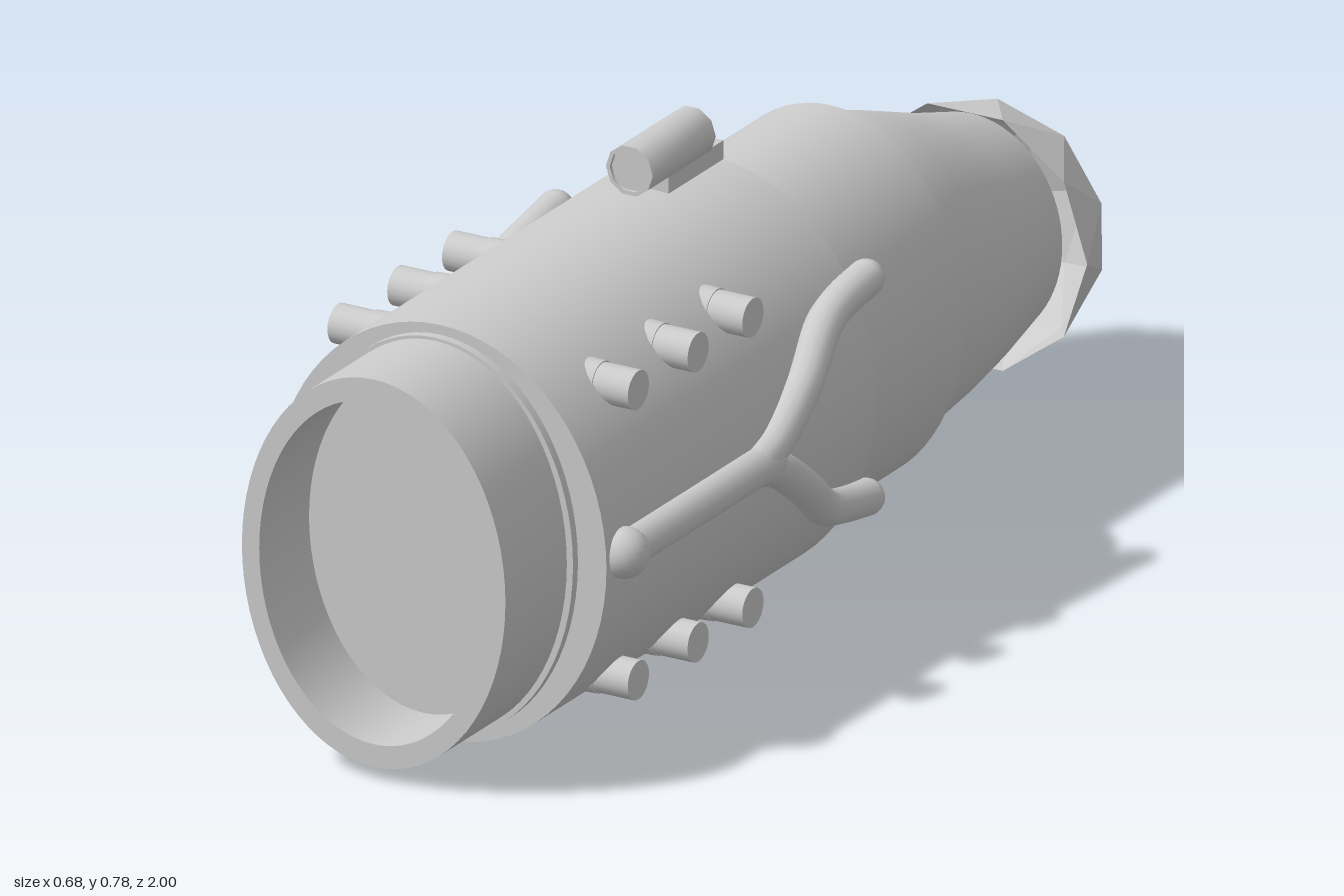
import * as THREE from 'three';
import { toCreasedNormals } from 'three/addons/utils/BufferGeometryUtils.js';

const material = new THREE.MeshStandardMaterial({ color: 0xcccccc });
const thinMaterial = new THREE.MeshStandardMaterial({ color: 0xcccccc, flatShading: true, side: THREE.DoubleSide });

function add(parent, name, geometry, mat = material) {
  const mesh = new THREE.Mesh(geometry, mat);
  mesh.name = name;
  parent.add(mesh);
  return mesh;
}

// Skin over elliptical sections [z, radiusX, radiusY, centreY], ordered front to back
function loft(stations, segments = 72) {
  const positions = [], indices = [];
  for (const [z, rx, ry, cy] of stations) {
    for (let j = 0; j < segments; j++) {
      const a = (j / segments) * Math.PI * 2;
      positions.push(rx * Math.cos(a), cy + ry * Math.sin(a), z);
    }
  }
  for (let i = 0; i < stations.length - 1; i++) {
    for (let j = 0; j < segments; j++) {
      const k = (j + 1) % segments;
      const a = i * segments + j, b = i * segments + k;
      const c = a + segments, d = b + segments;
      if (stations[i + 1][1] > 0) indices.push(a, c, d);
      if (stations[i][1] > 0) indices.push(a, d, b);
    }
  }
  const geometry = new THREE.BufferGeometry();
  geometry.setAttribute('position', new THREE.Float32BufferAttribute(positions, 3));
  geometry.setIndex(indices);
  return toCreasedNormals(geometry, 0.5);
}

// Round pipe through points, with a ball closing the far end
function pipe(parent, name, points, radius) {
  const path = new THREE.CatmullRomCurve3(points.map((p) => new THREE.Vector3(...p)));
  add(parent, name, new THREE.TubeGeometry(path, 28, radius, 14));
  add(parent, name + 'End', new THREE.SphereGeometry(radius, 14, 10)).position.copy(path.getPoint(1));
}

// Forked pipe and two rows of pegs for one flank (side = 1 or -1)
function createFlank(side) {
  const flank = new THREE.Group();
  flank.name = side > 0 ? 'leftFlank' : 'rightFlank';

  const fork = new THREE.Group();
  fork.name = 'forkedPipe';
  flank.add(fork);
  pipe(fork, 'stem', [[side * 0.3, 0.36, 0.75], [side * 0.301, 0.36, 0.55], [side * 0.3, 0.36, 0.32]], 0.032);
  add(fork, 'frontKnob', new THREE.SphereGeometry(0.041, 18, 14)).position.set(side * 0.3, 0.357, 0.75);
  for (const v of [1, -1]) {
    pipe(fork, v > 0 ? 'upperBranch' : 'lowerBranch', [
      [0.3, 0, 0.36], [0.3, 0.02, 0.3], [0.297, 0.085, 0.205],
      [0.282, 0.15, 0.12], [0.277, 0.169, 0.06], [0.278, 0.182, -0.015],
    ].map(([x, y, z]) => [side * x, 0.36 + v * y, z]), 0.03);
  }

  for (const y of [0.587, 0.105]) {
    for (const z of [0.31, 0.475, 0.655]) {
      const peg = new THREE.Group();
      peg.name = 'peg';
      peg.position.set(0, y, z);
      peg.rotation.z = -side * Math.PI / 2;
      add(peg, 'pegShaft', new THREE.CylinderGeometry(0.032, 0.032, 0.13, 24)).position.y = 0.204;
      add(peg, 'pegSocket', new THREE.CylinderGeometry(0.034, 0.037, 0.08, 24)).position.y = 0.165;
      flank.add(peg);
    }
  }
  return flank;
}

export function createModel() {
  const model = new THREE.Group();
  model.name = 'capsule';

  // Hollow front collar with a recessed floor
  add(model, 'frontCollar', loft([
    [0.85, 0, 0, 0.347], [0.85, 0.205, 0.284, 0.347], [1, 0.205, 0.284, 0.347],
    [1, 0.236, 0.322, 0.347], [0.78, 0.236, 0.322, 0.347],
  ]));
  add(model, 'collarLip', loft([
    [0.815, 0.2, 0.29, 0.346], [0.815, 0.247, 0.328, 0.346], [0.78, 0.247, 0.328, 0.346],
  ]));

  // Main barrel and narrower rear sleeve
  add(model, 'mainBarrel', loft([
    [0.8, 0, 0, 0.346], [0.8, 0.298, 0.344, 0.346],
    [-0.01, 0.298, 0.344, 0.346], [-0.01, 0, 0, 0.346],
  ]));
  add(model, 'rearSleeve', loft([
    [0, 0, 0, 0.335], [0, 0.24, 0.311, 0.335],
    [-0.375, 0.24, 0.311, 0.335], [-0.375, 0, 0, 0.335],
  ]));

  // Tapered tail
  add(model, 'tailCone', loft([
    [-0.36, 0.216, 0.286, 0.335], [-0.43, 0.214, 0.28, 0.331], [-0.5, 0.209, 0.267, 0.324],
    [-0.58, 0.2, 0.247, 0.314], [-0.68, 0.185, 0.219, 0.304], [-0.8, 0.163, 0.186, 0.298],
    [-0.8, 0, 0, 0.298],
  ]));

  // Faceted half-dome on the tail, open at the front
  const sphere = new THREE.IcosahedronGeometry(0.219, 1);
  sphere.rotateX(Math.atan(2 / (1 + Math.sqrt(5))) - Math.PI);
  const p = sphere.attributes.position, kept = [];
  for (let i = 0; i < p.count; i += 3) {
    if (p.getZ(i) + p.getZ(i + 1) + p.getZ(i + 2) > 0) continue;
    for (let j = i; j < i + 3; j++) kept.push(p.getX(j), p.getY(j), p.getZ(j));
  }
  const half = new THREE.BufferGeometry();
  half.setAttribute('position', new THREE.Float32BufferAttribute(kept, 3));
  half.computeVertexNormals();
  add(model, 'tailDome', half, thinMaterial).position.set(0, 0.285, -0.781);

  // Sight tube on its mount; the bore is open toward the rear
  add(model, 'sightMount', new THREE.BoxGeometry(0.052, 0.05, 0.165)).position.set(0, 0.695, 0.0725);
  const tube = loft([
    [0.224, 0, 0, 0], [0.224, 0.035, 0.035, 0], [0.23, 0.035, 0.035, 0], [0.23, 0.042, 0.042, 0],
    [0.04, 0.042, 0.042, 0], [0.04, 0.036, 0.036, 0], [0.1, 0.036, 0.036, 0], [0.1, 0, 0, 0],
  ], 10);
  add(model, 'sightTube', toCreasedNormals(tube, 0.8)).position.y = 0.747;

  // Mirrored flanks
  for (const side of [1, -1]) model.add(createFlank(side));
  return model;
}
